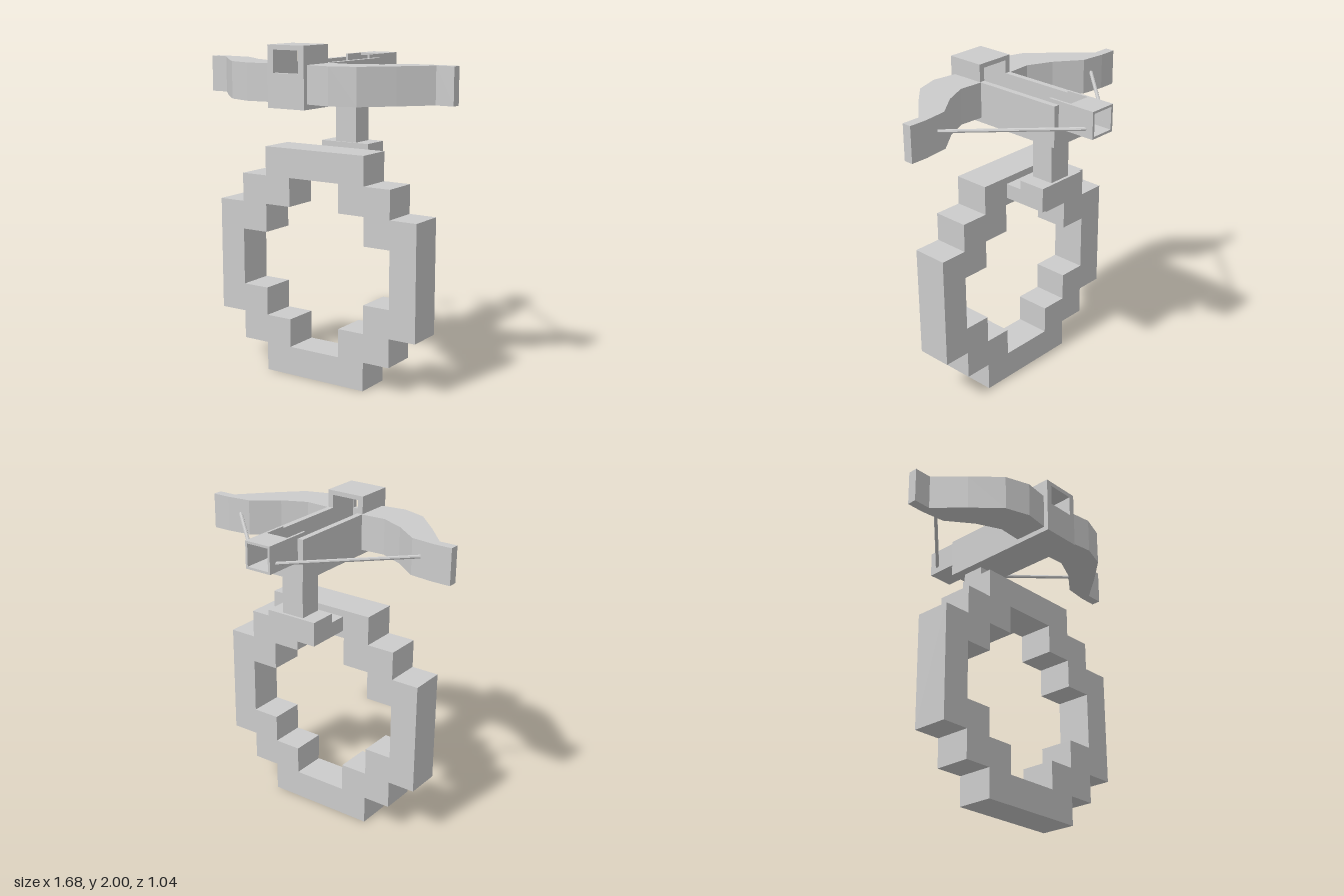
import * as THREE from 'three';

const material = new THREE.MeshStandardMaterial({ color: 0xcccccc, flatShading: true, side: THREE.DoubleSide });

const toVectors = (points) => points.map(([a, b]) => new THREE.Vector2(a, b));
const rectangle = (x0, y0, x1, y1) => [[x0, y0], [x1, y0], [x1, y1], [x0, y1]];

// Extrudes an outline (with optional hole) along +z by depth.
function extrude(outline, depth, hole) {
  const shape = new THREE.Shape(toVectors(outline));
  if (hole) shape.holes.push(new THREE.Path(toVectors(hole)));
  return new THREE.ExtrudeGeometry(shape, { depth, bevelEnabled: false });
}

// Box given by its minimum and maximum corners.
function boxBetween(x0, y0, z0, x1, y1, z1) {
  return new THREE.BoxGeometry(x1 - x0, y1 - y0, z1 - z0)
    .translate((x0 + x1) / 2, (y0 + y1) / 2, (z0 + z1) / 2);
}

// Closed staircase outline from one quadrant, mirrored about x = 0 and y = cy.
function steppedOutline(quadrant, cy) {
  const back = [...quadrant].reverse();
  return [
    ...quadrant.map(([x, y]) => [x, cy + y]),
    ...back.map(([x, y]) => [-x, cy + y]),
    ...quadrant.map(([x, y]) => [-x, cy - y]),
    ...back.map(([x, y]) => [x, cy - y]),
  ];
}

export function createModel() {
  const model = new THREE.Group();
  const add = (name, geometry, parent = model) => {
    const mesh = new THREE.Mesh(geometry, material);
    mesh.name = name;
    parent.add(mesh);
    return mesh;
  };

  // Stepped finger ring
  const outer = [[0.69, 0.345], [0.518, 0.345], [0.518, 0.518], [0.345, 0.518], [0.345, 0.693]];
  const inner = [[0.518, 0.173], [0.345, 0.173], [0.345, 0.345], [0.173, 0.345], [0.173, 0.518]];
  add('ring', extrude(steppedOutline(outer, 0.693), 0.22, steppedOutline(inner, 0.693)).translate(0, 0, 0.04));

  // L-shaped bracket behind the ring, and the post on it
  const bracketProfile = [[0.04, 1.255], [0.04, 1.345], [-0.067, 1.345], [-0.067, 1.4], [-0.24, 1.4], [-0.24, 1.255]];
  add('bracket', extrude(bracketProfile, 0.33).rotateY(-Math.PI / 2).translate(0.165, 0, 0));
  add('post', boxBetween(-0.072, 1.4, -0.222, 0.072, 1.65, -0.08));

  // Stock: open channel, roofed hood and a front plate with a window
  const stock = new THREE.Group();
  stock.name = 'stock';
  model.add(stock);
  const w = 0.123, channel = 0.088, floor = 1.75;
  const channelProfile = [
    [-w, 1.65], [w, 1.65], [w, 1.895], [channel, 1.895],
    [channel, floor], [-channel, floor], [-channel, 1.895], [-w, 1.895],
  ];
  add('channel', extrude(channelProfile, 0.57).translate(0, 0, -0.285), stock);
  const front = rectangle(-w, 1.65, w, 2);
  add('hood', extrude(front, 0.205, rectangle(-channel, floor, channel, 1.973)).translate(0, 0, 0.285), stock);
  add('frontPlate', extrude(front, 0.03, rectangle(-0.085, 1.845, 0.085, 1.973)).translate(0, 0, 0.49), stock);

  // Hollow rear slider with two prongs reaching into the channel
  const slider = new THREE.Group();
  slider.name = 'slider';
  model.add(slider);
  add('sliderTube', extrude(rectangle(-0.084, 1.755, 0.084, 1.915), 0.168,
    rectangle(-0.07, 1.769, 0.07, 1.901)).translate(0, 0, -0.523), slider);

  // Mirrored parts: prongs, bow arms and strings
  const armOutline = [
    [0.12, 0.49], [0.275, 0.51], [0.425, 0.46], [0.58, 0.305], [0.73, 0.14], [0.84, 0.14],
    [0.84, 0.082], [0.73, 0.082], [0.58, 0.1], [0.425, 0.217], [0.275, 0.286], [0.12, 0.278],
  ];
  for (const [side, s] of [['left', 1], ['right', -1]]) {
    add(side + 'Prong', boxBetween(-0.007, 1.755, -0.355, 0.007, 1.915, -0.21).translate(s * 0.077, 0, 0), slider);

    const arm = extrude(armOutline.map(([x, z]) => [s * x, z]), 0.215);
    add(side + 'Arm', arm.rotateX(Math.PI / 2).translate(0, 1.895, 0));

    const string = new THREE.LineCurve3(
      new THREE.Vector3(s * 0.64, 1.803, 0.092), new THREE.Vector3(s * 0.076, 1.803, -0.472));
    add(side + 'String', new THREE.TubeGeometry(string, 1, 0.011, 8));
  }
  return model;
}
